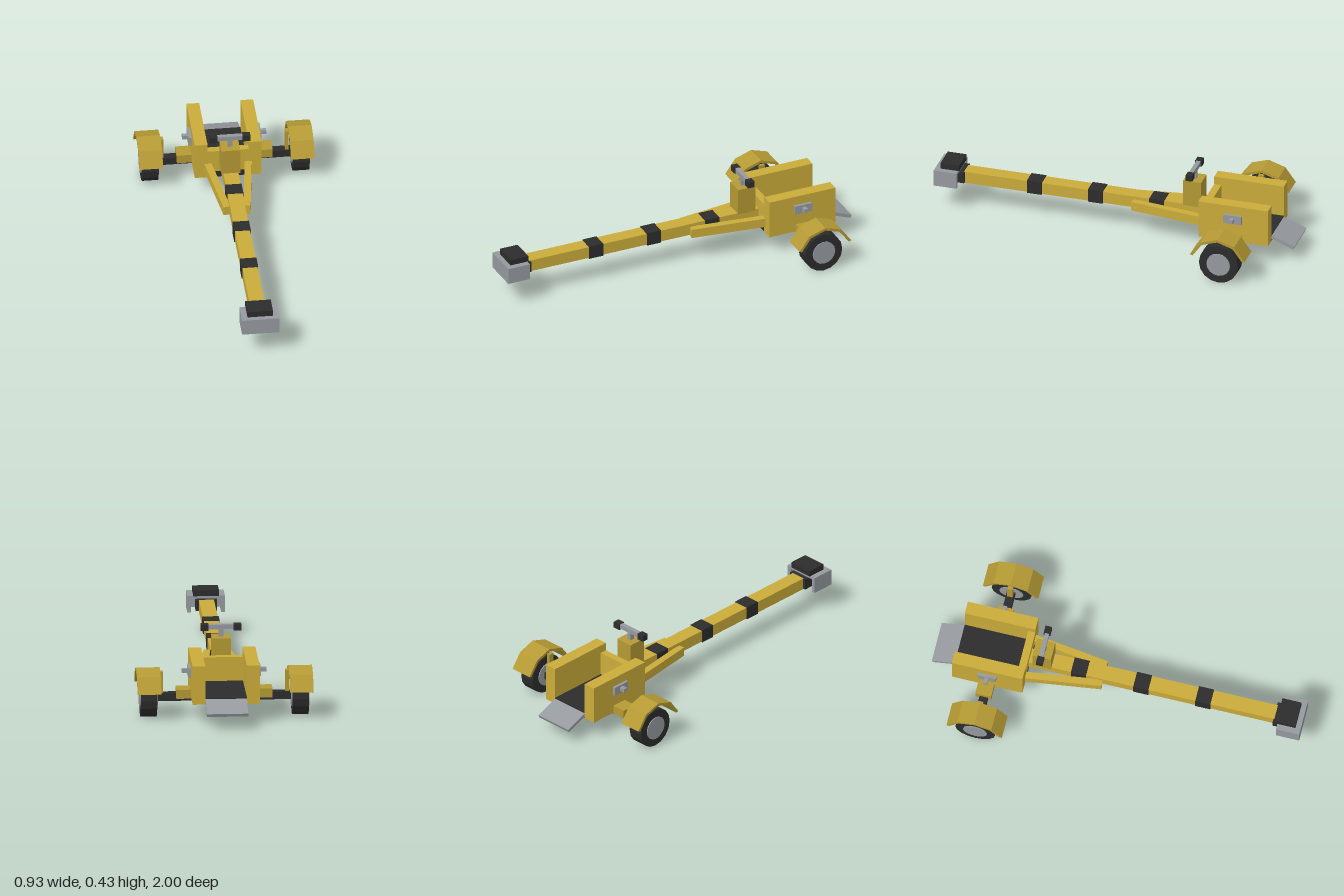
import * as THREE from 'three';

const mat = (name, color) => {
  const m = new THREE.MeshStandardMaterial({ color, flatShading: true });
  m.name = name;
  return m;
};

export function createModel() {
  const yellow = mat('yellow paint', 0xcbac3a);
  const ochre = mat('ochre paint', 0xb59a34);
  const black = mat('black rubber', 0x2c2c2d);
  const grey = mat('grey metal', 0x969a9f);

  const root = new THREE.Group();
  root.name = 'towCart';

  const add = (name, geo, material, parent = root) => {
    const m = new THREE.Mesh(geo, material);
    m.name = name;
    parent.add(m);
    return m;
  };
  // Box given by its minimum and maximum corners
  const box = (name, material, [x0, x1], [y0, y1], [z0, z1], parent = root) => {
    const m = add(name, new THREE.BoxGeometry(x1 - x0, y1 - y0, z1 - z0), material, parent);
    m.position.set((x0 + x1) / 2, (y0 + y1) / 2, (z0 + z1) / 2);
    return m;
  };

  // Draw bar with black bands
  box('drawBar', yellow, [-0.04, 0.04], [0.15, 0.215], [-0.49, 0.85]);
  for (const z of [0.46, 0.122, -0.218])
    box('barBand', black, [-0.044, 0.044], [0.146, 0.219], [z - 0.041, z + 0.041]);

  // Hitch: hollow grey housing, open below and behind
  box('hitchNeck', black, [-0.057, 0.057], [0.155, 0.214], [0.845, 0.9]);
  box('hitchTop', grey, [-0.1, 0.1], [0.215, 0.23], [0.873, 1]);
  box('hitchFront', grey, [-0.1, 0.1], [0.14, 0.215], [0.98, 1]);
  for (const s of [-1, 1])
    box('hitchSide', grey, s < 0 ? [-0.1, -0.08] : [0.08, 0.1], [0.14, 0.215], [0.873, 0.98]);
  box('hitchPad', black, [-0.068, 0.068], [0.23, 0.262], [0.868, 0.972]);

  // Load bed
  box('bedFloor', black, [-0.11, 0.11], [0.11, 0.145], [-0.875, -0.49]);
  box('bedFrontWall', yellow, [-0.11, 0.11], [0.145, 0.275], [-0.53, -0.49]);
  const ramp = add('ramp', new THREE.BoxGeometry(0.22, 0.018, 0.136), grey);
  ramp.position.set(0, 0.107, -0.934);
  ramp.rotation.x = -0.37;

  // Control post and handlebar
  box('controlPost', ochre, [-0.05, 0.05], [0.213, 0.36], [-0.466, -0.366]);
  box('handleStem', grey, [-0.012, 0.012], [0.36, 0.402], [-0.428, -0.404]);
  box('handleBar', grey, [-0.07, 0.07], [0.4, 0.425], [-0.428, -0.404]);

  // Axle
  box('axle', black, [-0.358, 0.358], [0.087, 0.128], [-0.705, -0.66]);

  // Fender: four flat segments of an arc, extruded across the wheel
  const arc = [-72, -36, 0, 36, 72].map(d => THREE.MathUtils.degToRad(d));
  const ring = r => arc.map(a => new THREE.Vector2(r * Math.sin(a), r * Math.cos(a)));
  const fenderShape = new THREE.Shape([...ring(0.159), ...ring(0.144).reverse()]);
  const fenderGeo = new THREE.ExtrudeGeometry(fenderShape, { depth: 0.126, bevelEnabled: false });
  fenderGeo.translate(0, 0, -0.063).rotateY(Math.PI / 2);
  const tyreGeo = new THREE.CylinderGeometry(0.108, 0.108, 0.085, 16).rotateZ(Math.PI / 2);
  const hubGeo = new THREE.CylinderGeometry(0.065, 0.065, 0.095, 16).rotateZ(Math.PI / 2);

  // Paired parts
  for (const s of [-1, 1]) {
    const side = new THREE.Group();
    side.name = s > 0 ? 'leftSide' : 'rightSide';
    root.add(side);
    const sx = (a, b) => (s > 0 ? [a, b] : [-b, -a]);

    box('bedSideWall', yellow, sx(0.11, 0.178), [0.11, 0.32], [-0.875, -0.49], side);
    box('handleGrip', black, sx(0.067, 0.108), [0.393, 0.427], [-0.434, -0.398], side);
    box('axleBlock', ochre, sx(0.178, 0.255), [0.104, 0.153], [-0.728, -0.642], side);
    box('latchPlate', grey, sx(0.178, 0.194), [0.222, 0.27], [-0.732, -0.632], side);
    box('latchKnob', grey, sx(0.194, 0.224), [0.236, 0.258], [-0.693, -0.671], side);
    box('fenderStay', ochre, sx(0.325, 0.343), [0.11, 0.245], [-0.697, -0.667], side);

    const brace = add('brace', new THREE.BoxGeometry(0.038, 0.05, 0.42), yellow, side);
    brace.position.set(s * 0.081, 0.172, -0.295);
    brace.rotation.y = -s * 0.132;

    const wheel = new THREE.Group();
    wheel.name = 'wheel';
    wheel.position.set(s * 0.4025, 0.108, -0.682);
    side.add(wheel);
    add('tyre', tyreGeo, black, wheel);
    add('hub', hubGeo, grey, wheel);
    add('fender', fenderGeo, ochre, wheel).position.x = s * 0.0015;
  }
  return root;
}
